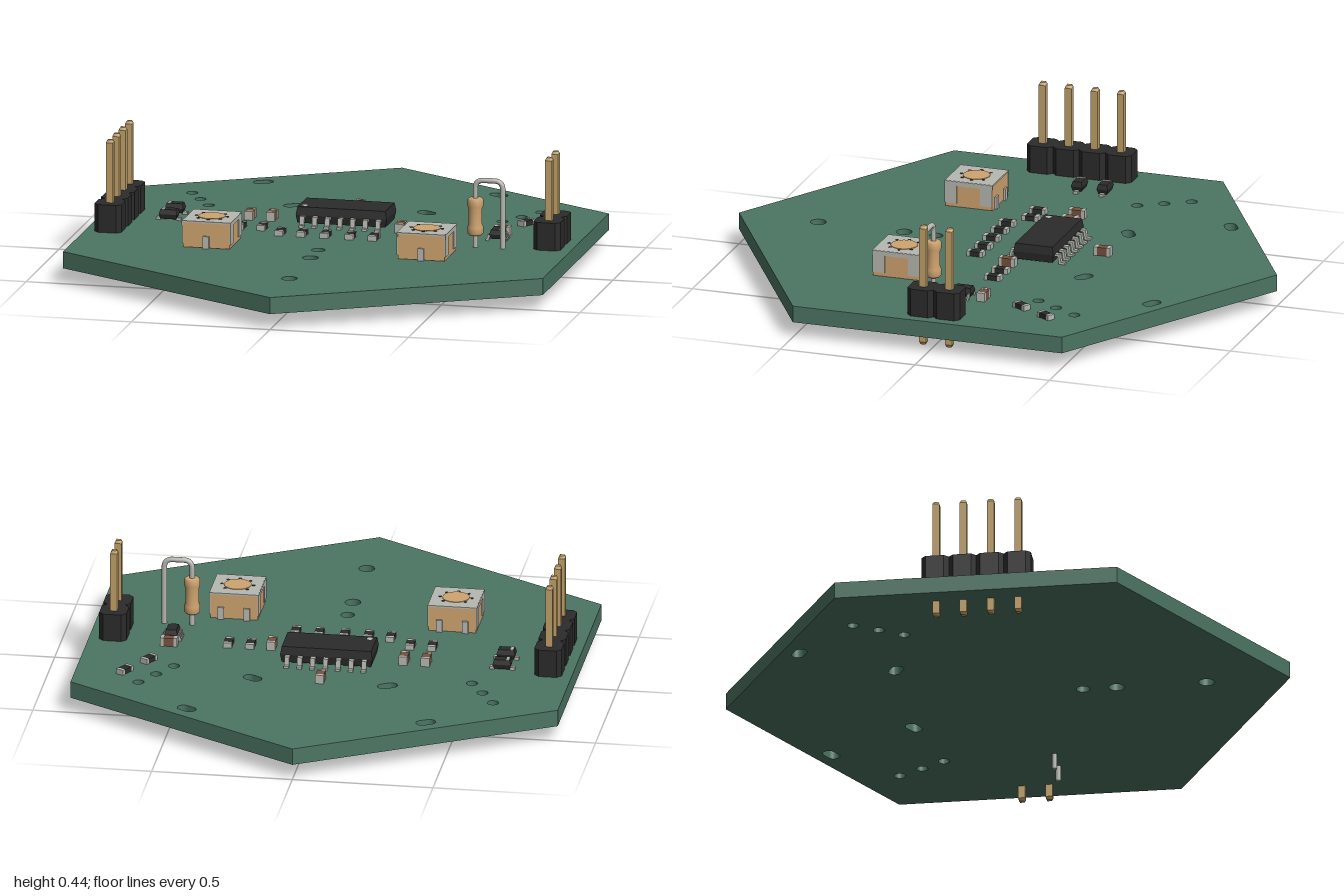
import * as THREE from 'three';

const mat = (c) => new THREE.MeshStandardMaterial({ color: c });
const M = {
  board: mat(0x4c7563), black: mat(0x2b2b2b), metal: mat(0xb8b8b2), gold: mat(0xc0a068),
  tan: mat(0xd0a470), brown: mat(0x76523f), dark: mat(0x3a3530),
};
const BOTTOM = 0.056, TOP = 0.116;

function add(parent, name, geo, material, x = 0, y = 0, z = 0) {
  const m = new THREE.Mesh(geo, material);
  m.name = name;
  m.position.set(x, y, z);
  parent.add(m);
  return m;
}
const box = (parent, name, w, h, d, material, x, y, z) =>
  add(parent, name, new THREE.BoxGeometry(w, h, d), material, x, y, z);

function group(parent, name, x, z, angle = 0) {
  const g = new THREE.Group();
  g.name = name;
  g.position.set(x, TOP, z);
  g.rotation.y = angle;
  parent.add(g);
  return g;
}

// Upright prism from a plan outline given as [x, z]
const outline = (pts) => new THREE.Shape(pts.map(([x, z]) => new THREE.Vector2(x, -z)));
function prism(shape, h) {
  const g = new THREE.ExtrudeGeometry(shape, { depth: h, bevelEnabled: false, curveSegments: 16 });
  return g.rotateX(-Math.PI / 2);
}

// Hexagonal board with round holes and slots
function board(parent) {
  const c = Math.sqrt(3) / 2;
  const s = outline([[0, 1], [c, 0.5], [c, -0.5], [0, -1], [-c, -0.5], [-c, 0.5]]);
  const hole = (x, z, r) => s.holes.push(new THREE.Path().absarc(x, -z, r, 0, Math.PI * 2, true));
  const slot = (x, z, a) => {
    const r = 0.022, l = 0.014, p = new THREE.Path();
    const dx = Math.cos(a) * l, dy = Math.sin(a) * l;
    p.absarc(x + dx, -z + dy, r, a - Math.PI / 2, a + Math.PI / 2, false);
    p.absarc(x - dx, -z - dy, r, a + Math.PI / 2, a + Math.PI * 1.5, false);
    s.holes.push(p);
  };
  for (const k of [-1, 1]) {
    slot(k * 0.425, -0.682, -k * Math.PI / 6);
    slot(k * 0.24, -0.365, -k * Math.PI / 6);
    for (const [x, z] of [[0.63, -0.465], [0.58, -0.38], [0.53, -0.297]]) hole(k * x, z, 0.02);
  }
  hole(0, 0.267, 0.024);
  hole(0, 0.386, 0.028);
  hole(0, 0.705, 0.028);
  add(parent, 'board', prism(s, TOP - BOTTOM), M.board, 0, BOTTOM, 0);
}

// Pin header: chamfered blocks with square pointed pins
function header(parent, name, x, n) {
  const g = group(parent, name, x, -0.005);
  const a = 0.0485, b = 0.032;
  const block = prism(outline([[-b, a], [b, a], [a, b], [a, -b], [b, -a], [-b, -a], [-a, -b], [-a, b]]), 0.1);
  for (let i = 0; i < n; i++) {
    const z = (i - (n - 1) / 2) * 0.097;
    add(g, 'headerBlock', block, M.black, 0, 0, z);
    box(g, 'headerPin', 0.025, 0.422, 0.025, M.gold, 0, 0.221 - TOP, z);
    for (const [y, flip] of [[0.437, 0], [0.005, Math.PI]]) {
      const tip = new THREE.CylinderGeometry(0.011, 0.0177, 0.01, 4).rotateY(Math.PI / 4);
      add(g, 'pinTip', tip.toNonIndexed(), M.gold, 0, y - TOP, z).rotation.x = flip;
    }
  }
}

// Body with a chamfered waist, as on moulded packages
function moulded(parent, name, w, d, y0, y1, inset) {
  const h = (y1 - y0) / 2;
  for (const k of [0, 1]) {
    const geo = new THREE.BoxGeometry(w, h, d);
    const p = geo.attributes.position;
    for (let i = 0; i < p.count; i++) {
      if ((p.getY(i) > 0) === (k === 1)) {
        p.setX(i, p.getX(i) - Math.sign(p.getX(i)) * inset);
        p.setZ(i, p.getZ(i) - Math.sign(p.getZ(i)) * inset);
      }
    }
    geo.computeVertexNormals();
    add(parent, name, geo, M.black, 0, y0 + h * (k + 0.5), 0);
  }
}

// Gull-wing lead reaching from the body side (r0) to the foot end (r1) along +z
function lead(parent, x, side, r0, r1, h, w) {
  const t = 0.008, m = (r0 + r1) / 2;
  const s = outline([[r0 - 0.01, -h], [m, -h], [m + t / 2, -t], [r1, -t], [r1, 0],
    [m - t / 2, 0], [m - t, -h + t], [r0 - 0.01, -h + t]]);
  const geo = new THREE.ExtrudeGeometry(s, { depth: w, bevelEnabled: false });
  geo.translate(0, 0, -w / 2).rotateY(-Math.PI / 2);
  const holder = new THREE.Group();
  holder.name = 'lead';
  holder.position.x = x;
  if (side < 0) holder.rotation.y = Math.PI;
  add(holder, 'leadMetal', geo, M.metal);
  parent.add(holder);
}

// Integrated circuit with two rows of leads
function chip(parent, name, x, z, angle, n, pitch, w, d, top, reach) {
  const g = group(parent, name, x, z, angle);
  moulded(g, 'chipBody', w, d, 0.008, top, 0.005);
  for (let i = 0; i < n; i++)
    for (const s of [-1, 1]) lead(g, (i - (n - 1) / 2) * pitch, s, d / 2, reach, top * 0.55, pitch * 0.38);
  const r = Math.min(0.011, d * 0.08);
  add(g, 'pinOneMark', new THREE.CylinderGeometry(r, r, 0.002, 16), M.metal, -w / 2 + r * 2.5, top, d / 2 - r * 2.5);
}

// Surface-mount resistor or capacitor, long along z
function smd(parent, x, z, brown, angle = 0) {
  const g = group(parent, brown ? 'chipCapacitor' : 'chipResistor', x, z, angle);
  const h = brown ? 0.032 : 0.019;
  box(g, 'chipCore', 0.03, h - 0.002, 0.036, brown ? M.brown : M.black, 0, h / 2, 0);
  for (const s of [-1, 1]) box(g, 'endCap', 0.031, h, 0.012, M.metal, 0, h / 2, s * 0.024);
}

// Small diode, long along x, band on the left
function diode(parent, x, z) {
  const g = group(parent, 'diode', x, z);
  moulded(g, 'diodeBody', 0.066, 0.042, 0.006, 0.04, 0.005);
  box(g, 'diodeBand', 0.01, 0.002, 0.032, M.metal, -0.02, 0.04, 0);
  for (const s of [-1, 1]) box(g, 'diodeLead', 0.018, 0.01, 0.016, M.metal, s * 0.036, 0.005, 0);
}

// Trimmer: tan block, metal cap with side windows, slotted rotor
function trimmer(parent, x) {
  const g = group(parent, 'trimmer', x, 0.251);
  box(g, 'trimmerBody', 0.168, 0.09, 0.174, M.tan, 0, 0.047, 0);
  box(g, 'trimmerCap', 0.172, 0.006, 0.178, M.metal, 0, 0.094, 0);
  for (const s of [-1, 1]) {
    for (const k of [-1, 1]) box(g, 'capSide', 0.004, 0.078, 0.045, M.metal, s * 0.086, 0.055, k * 0.066);
    box(g, 'capSideRail', 0.004, 0.016, 0.178, M.metal, s * 0.086, 0.088, 0);
    box(g, 'trimmerFoot', 0.022, 0.045, 0.01, M.metal, s * 0.046, 0.022, -0.09);
  }
  box(g, 'trimmerFoot', 0.022, 0.045, 0.01, M.metal, 0, 0.022, 0.09);
  add(g, 'rotor', new THREE.CylinderGeometry(0.048, 0.048, 0.003, 32), M.tan, 0, 0.0975, 0);
  for (let i = 0; i < 8; i++) {
    const a = i * Math.PI / 4;
    if (i !== 6)
      add(g, 'scaleMark', new THREE.CylinderGeometry(0.006, 0.006, 0.002, 8), M.dark,
        Math.cos(a) * 0.056, 0.0975, Math.sin(a) * 0.056);
  }
}

// Upright resistor with its wire bent over and through the board
function resistor(parent) {
  const g = new THREE.Group();
  g.name = 'uprightResistor';
  parent.add(g);
  const x0 = 0.526, x1 = 0.625, top = 0.358, z = 0.095, r = 0.03;
  const v = (x, y) => new THREE.Vector3(x, y, z);
  const path = new THREE.CurvePath();
  path.add(new THREE.LineCurve3(v(x0, 0.001), v(x0, top - r)));
  path.add(new THREE.QuadraticBezierCurve3(v(x0, top - r), v(x0, top), v(x0 + r, top)));
  path.add(new THREE.LineCurve3(v(x0 + r, top), v(x1 - r, top)));
  path.add(new THREE.QuadraticBezierCurve3(v(x1 - r, top), v(x1, top), v(x1, top - r)));
  path.add(new THREE.LineCurve3(v(x1, top - r), v(x1, 0.001)));
  add(g, 'resistorWire', new THREE.TubeGeometry(path, 120, 0.0095, 12), M.metal);
  for (const x of [x0, x1])
    add(g, 'wireEnd', new THREE.CylinderGeometry(0.0095, 0.0095, 0.004, 12), M.metal, x, 0.002, z);
  const profile = [[0, 0.16], [0.022, 0.16], [0.028, 0.167], [0.028, 0.19], [0.024, 0.2], [0.024, 0.255],
    [0.028, 0.265], [0.028, 0.288], [0.022, 0.294], [0, 0.294]];
  add(g, 'resistorBody', new THREE.LatheGeometry(profile.map(([a, b]) => new THREE.Vector2(a, b)), 24), M.tan, x0, 0, z);
}

export function createModel() {
  const model = new THREE.Group();
  model.name = 'circuitBoard';
  board(model);
  header(model, 'rightHeader', -0.782, 4);
  header(model, 'leftHeader', 0.78, 2);
  chip(model, 'mainChip', 0, -0.151, 0, 7, 0.0457, 0.328, 0.148, 0.066, 0.11);
  chip(model, 'smallChip', 0.576, -0.035, Math.PI / 2, 4, 0.018, 0.07, 0.046, 0.04, 0.037);
  for (const x of [-0.388, 0.388]) trimmer(model, x);
  resistor(model);
  for (const z of [-0.148, -0.053]) diode(model, -0.615, z);
  for (const [x, z] of [[0, -0.354], [-0.343, -0.14], [-0.264, -0.14], [0.216, -0.074]]) smd(model, x, z, true);
  smd(model, 0.576, -0.108, true, Math.PI / 2);
  for (const [x, z] of [[-0.342, 0.005], [-0.264, 0.005], [0.291, -0.074], [0.37, -0.074]]) smd(model, x, z, false);
  for (const x of [-0.185, -0.106, -0.021, 0.069, 0.153]) smd(model, x, 0.066, false);
  for (const [x, z] of [[0.692, -0.38], [0.624, -0.267]]) smd(model, x, z, false, -Math.PI / 6);
  return model;
}
